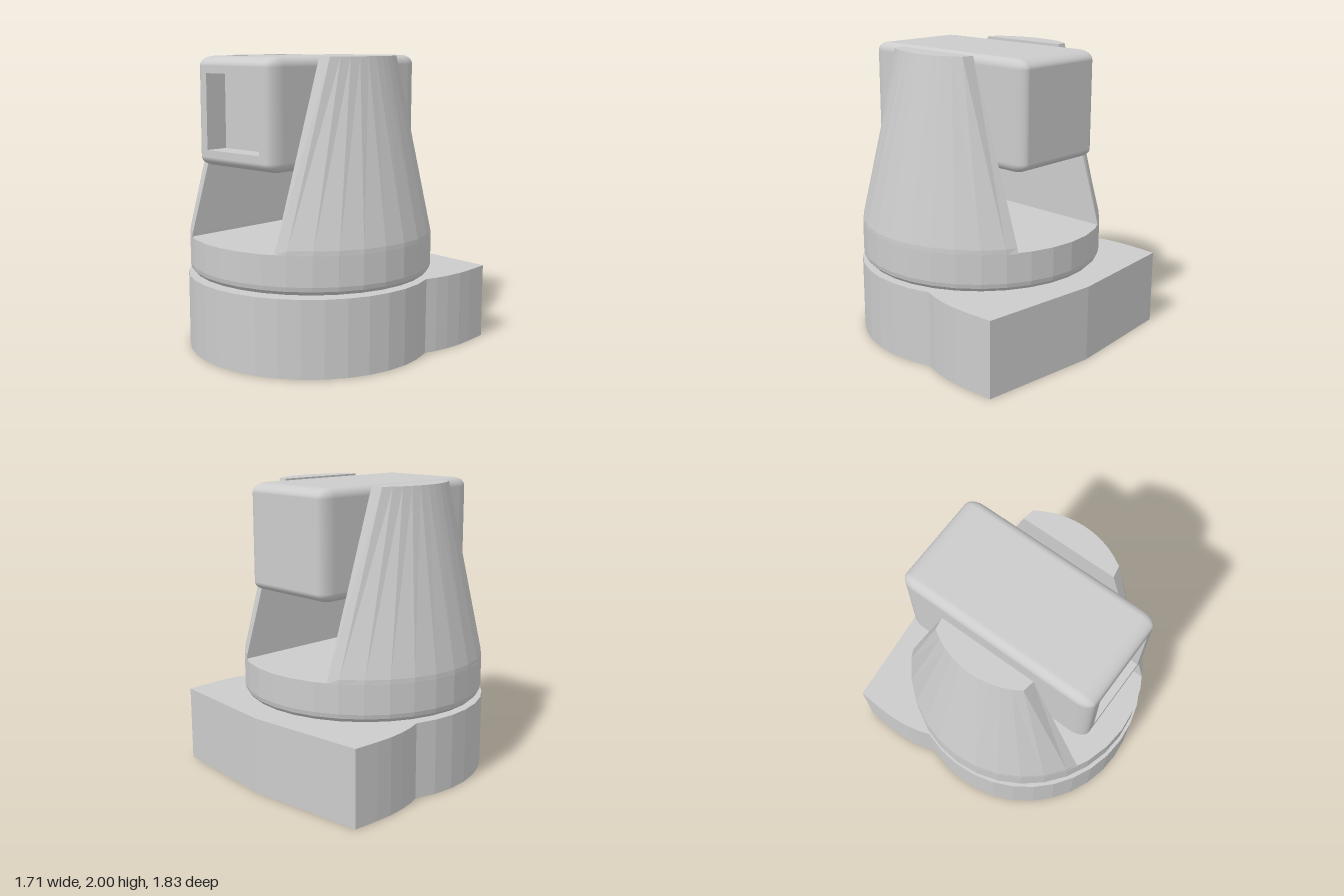
import * as THREE from 'three';
import { RoundedBoxGeometry } from 'three/addons/geometries/RoundedBoxGeometry.js';

const CZ = 0.068; // z of the turning axis
const STEP = Math.PI / 16; // one facet of the 32-sided round parts
const flat = new THREE.MeshStandardMaterial({ color: 0xcccccc, flatShading: true });
const smooth = new THREE.MeshStandardMaterial({ color: 0xcccccc });

function add(parent, name, geometry, material) {
  const mesh = new THREE.Mesh(geometry, material);
  mesh.name = name;
  parent.add(mesh);
  return mesh;
}

// Round base with a flared, pointed tail; shape y is -z
function baseGeometry() {
  const r = 0.85, start = 0.37;
  const pts = [];
  const n = 22;
  for (let i = 0; i <= n; i++) {
    const a = start - (Math.PI + 2 * start) * i / n;
    pts.push(new THREE.Vector2(r * Math.cos(a), r * Math.sin(a) - CZ));
  }
  const side = [[0.82, 0.32], [0.842, 0.42], [0.854, 0.54], [0.852, 0.66], [0.84, 0.835]];
  side.forEach(([x, y]) => pts.push(new THREE.Vector2(-x, y)));
  pts.push(new THREE.Vector2(0, 0.912));
  side.reverse().forEach(([x, y]) => pts.push(new THREE.Vector2(x, y)));
  return new THREE.ExtrudeGeometry(new THREE.Shape(pts), { depth: 0.517, bevelEnabled: false })
    .rotateX(-Math.PI / 2);
}

// Turntable disc with a rounded lower rim
function turntableGeometry() {
  const profile = [[0, 0.51], [0.78, 0.525], [0.815, 0.535], [0.838, 0.56], [0.845, 0.59], [0.845, 0.79], [0, 0.79]];
  return new THREE.LatheGeometry(profile.map(([x, y]) => new THREE.Vector2(x, y)), 32).scale(1, 1, 0.985);
}

// Tapered arm lofted between D-shaped sections
function armGeometry() {
  const section = (y, r, spread, endX, endZ) => {
    const pts = [[endX, y, -endZ]];
    for (let i = -5; i <= 5; i++) {
      const a = i * STEP * spread;
      pts.push([r * Math.cos(a), y, r * Math.sin(a) * 0.985]);
    }
    pts.push([endX, y, endZ]);
    return pts;
  };
  const rings = [
    section(0.785, 0.845, 1, 0.405, 0.73),
    section(0.82, 0.843, 0.99, 0.405, 0.72),
    section(2, 0.592, 0.6, 0.413, 0.338),
  ];
  const n = rings[0].length;
  const index = [];
  for (let k = 0; k < rings.length - 1; k++) {
    for (let i = 0; i < n; i++) {
      const j = (i + 1) % n;
      const a = k * n + i, b = k * n + j;
      index.push(a, a + n, b, b, a + n, b + n);
    }
  }
  const top = (rings.length - 1) * n;
  for (let i = 1; i < n - 1; i++) index.push(top, top + i + 1, top + i);
  const g = new THREE.BufferGeometry();
  g.setAttribute('position', new THREE.Float32BufferAttribute(rings.flat(2), 3));
  g.setIndex(index);
  const out = g.toNonIndexed();
  out.computeVertexNormals();
  return out;
}

// Rounded box without its flat front panel
function shellGeometry(w, h, d, radius, stretch) {
  const box = new RoundedBoxGeometry(w, h, d / stretch, 5, radius).scale(1, 1, stretch);
  const p = box.attributes.position, nor = box.attributes.normal;
  const pos = [], norm = [];
  for (let i = 0; i < p.count; i += 3) {
    if ([0, 1, 2].every((k) => p.getZ(i + k) > d / 2 - 1e-4)) continue;
    for (let k = i; k < i + 3; k++) {
      pos.push(p.getX(k), p.getY(k), p.getZ(k));
      norm.push(nor.getX(k), nor.getY(k), nor.getZ(k));
    }
  }
  const g = new THREE.BufferGeometry();
  g.setAttribute('position', new THREE.Float32BufferAttribute(pos, 3));
  g.setAttribute('normal', new THREE.Float32BufferAttribute(norm, 3));
  return g;
}

function square(Type, half) {
  return new Type([[-1, -1], [1, -1], [1, 1], [-1, 1]].map(([x, y]) => new THREE.Vector2(x * half, y * half)));
}

// Head with a square lens recess in the front
function createHead() {
  const head = new THREE.Group();
  head.name = 'head';
  const size = 0.72, length = 1.42, radius = 0.063, hole = 0.25, depth = 0.16;
  add(head, 'headShell', shellGeometry(size, size, length, radius, 1.75), smooth);

  const frame = square(THREE.Shape, size / 2 - radius);
  frame.holes.push(square(THREE.Path, hole));
  add(head, 'frontFrame', new THREE.ShapeGeometry(frame), smooth).position.z = length / 2;

  add(head, 'lens', new THREE.PlaneGeometry(hole * 2, hole * 2), smooth).position.z = length / 2 - depth;
  for (let i = 0; i < 4; i++) {
    const wall = new THREE.PlaneGeometry(hole * 2, depth)
      .rotateX(-Math.PI / 2)
      .translate(0, -hole, length / 2 - depth / 2)
      .rotateZ(i * Math.PI / 2);
    add(head, 'recessWall', wall, smooth);
  }
  head.position.set(0, 1.64, 0.065);
  return head;
}

export function createModel() {
  const model = new THREE.Group();
  model.name = 'movingHeadLight';
  add(model, 'base', baseGeometry(), flat);

  const yoke = new THREE.Group();
  yoke.name = 'yoke';
  yoke.position.z = CZ;
  add(yoke, 'turntable', turntableGeometry(), flat);
  const arm = armGeometry();
  add(yoke, 'leftArm', arm, flat);
  add(yoke, 'rightArm', arm, flat).rotation.y = Math.PI;
  model.add(yoke);

  model.add(createHead());
  return model;
}
